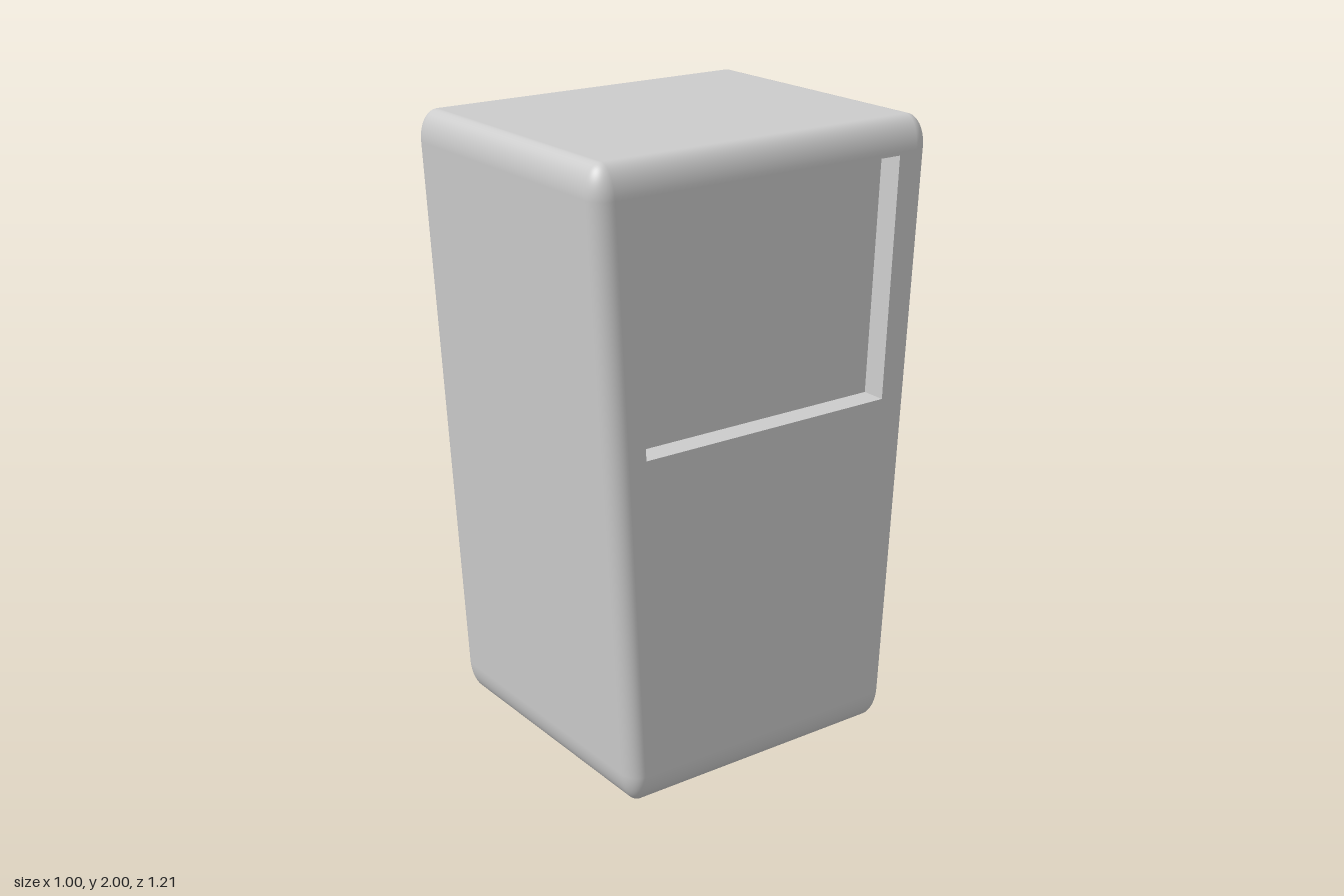
import * as THREE from 'three';
import { RoundedBoxGeometry } from 'three/addons/geometries/RoundedBoxGeometry.js';

const HX = 0.5, HY = 1, HZ = 0.555;          // half sizes at mid height
const RX = 0.06, RY = 0.1, RZ = 0.055;       // edge rounding per axis
const TAPER = 0.1;                           // depth grows with height
const REC = { z: 0.441, y0: 0.128, y1: 0.89, depth: 0.08 };

// Widen z towards the top, bending the normals to match
function taper(geo) {
  const p = geo.attributes.position, n = geo.attributes.normal;
  const v = new THREE.Vector3();
  for (let i = 0; i < p.count; i++) {
    const s = 1 + TAPER * p.getY(i), z = p.getZ(i);
    v.fromBufferAttribute(n, i);
    v.y -= (z * TAPER / s) * v.z;
    v.z /= s;
    v.normalize();
    n.setXYZ(i, v.x, v.y, v.z);
    p.setZ(i, z * s);
  }
  return geo.translate(0, HY, 0);
}

// Rounded shell without the flat middle of its +x side
function shellGeometry() {
  const box = new RoundedBoxGeometry(2 * HX / RX, 2 * HY / RY, 2 * HZ / RZ, 8, 1);
  const src = box.index ? box.toNonIndexed() : box;
  const p = src.attributes.position, n = src.attributes.normal;
  const pos = [], nor = [];
  for (let i = 0; i < p.count; i += 3) {
    if ([0, 1, 2].every((k) => n.getX(i + k) > 0.9999)) continue;
    for (let k = i; k < i + 3; k++) {
      pos.push(p.getX(k), p.getY(k), p.getZ(k));
      nor.push(n.getX(k), n.getY(k), n.getZ(k));
    }
  }
  const geo = new THREE.BufferGeometry();
  geo.setAttribute('position', new THREE.Float32BufferAttribute(pos, 3));
  geo.setAttribute('normal', new THREE.Float32BufferAttribute(nor, 3));
  return geo.scale(RX, RY, RZ);
}

function rect(path, x, y0, y1) {
  path.moveTo(-x, y0).lineTo(x, y0).lineTo(x, y1).lineTo(-x, y1).closePath();
  return path;
}

// Flat side panel with the window opening
function panelGeometry() {
  const shape = rect(new THREE.Shape(), HZ - RZ, RY - HY, HY - RY);
  shape.holes.push(rect(new THREE.Path(), REC.z, REC.y0, REC.y1));
  return new THREE.ShapeGeometry(shape).rotateY(Math.PI / 2).translate(HX, 0, 0);
}

// Open box turned inside out: recess walls and back
function recessGeometry() {
  const geo = new THREE.BoxGeometry(REC.depth, REC.y1 - REC.y0, 2 * REC.z);
  geo.translate(HX - REC.depth / 2, (REC.y0 + REC.y1) / 2, 0);
  geo.setIndex(Array.from(geo.index.array).slice(6).reverse());
  geo.clearGroups();
  geo.computeVertexNormals();
  return geo;
}

export function createModel() {
  const group = new THREE.Group();
  group.name = 'cabinet';
  const material = new THREE.MeshStandardMaterial({ color: 0xcccccc });
  const parts = {
    bodyShell: shellGeometry(),
    sidePanel: panelGeometry(),
    windowRecess: recessGeometry(),
  };
  for (const [name, geo] of Object.entries(parts)) {
    const mesh = new THREE.Mesh(taper(geo), material);
    mesh.name = name;
    group.add(mesh);
  }
  return group;
}
